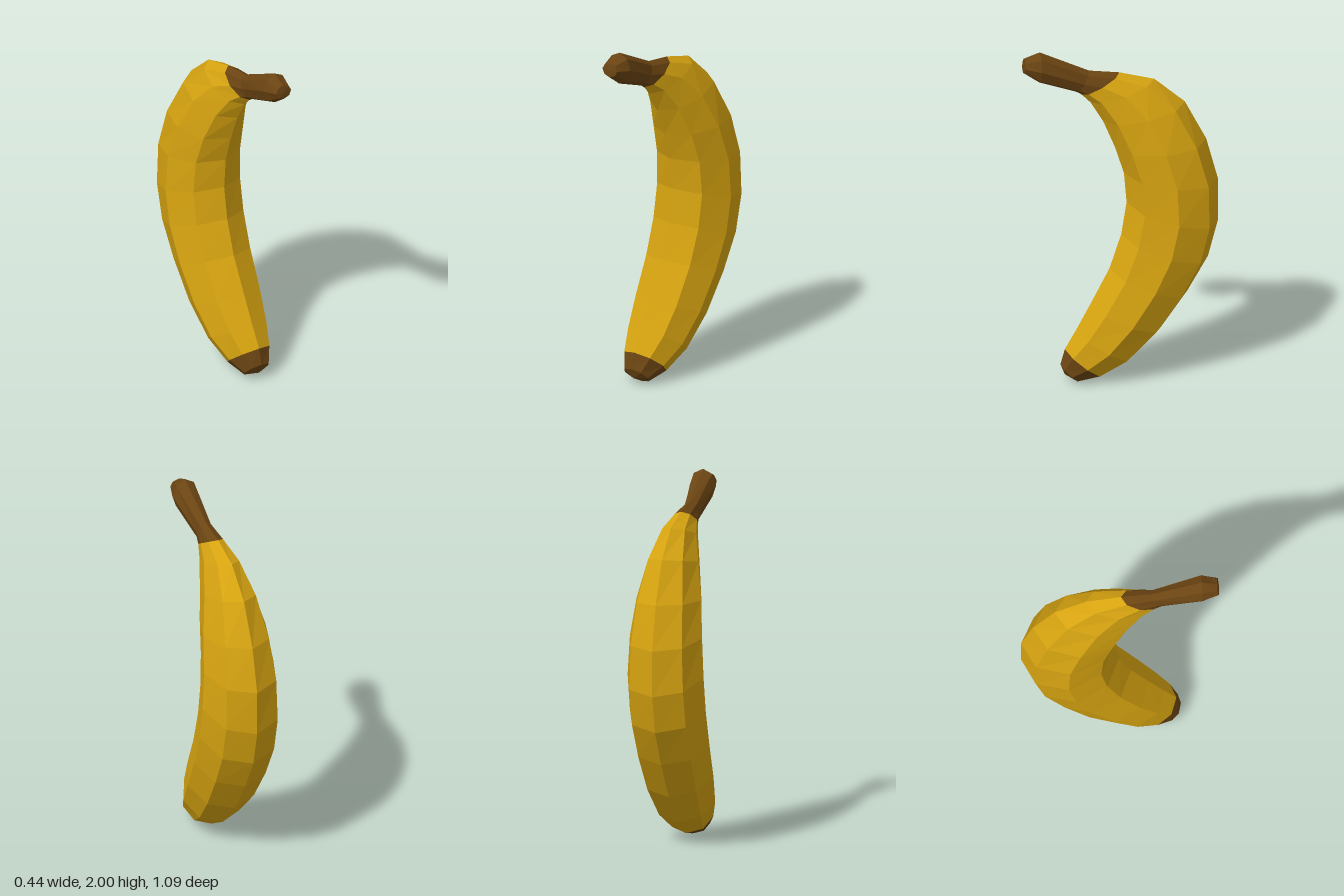
import * as THREE from 'three';

const SIDES = 8;

// Cross-sections from bottom to top: inner z, inner y, outer z, outer y, half width, x offset
const RINGS = [
  [0.335, 0.10, 0.235, 0.0, 0.08, 0],
  [0.31, 0.19, 0.10, 0.025, 0.125, 0],
  [0.245, 0.305, -0.06, 0.115, 0.17, 0],
  [0.165, 0.455, -0.23, 0.285, 0.198, 0],
  [0.06, 0.66, -0.375, 0.49, 0.212, 0],
  [-0.005, 0.86, -0.49, 0.69, 0.218, 0],
  [-0.035, 1.05, -0.545, 0.90, 0.218, 0],
  [-0.02, 1.23, -0.545, 1.155, 0.207, 0],
  [0.03, 1.39, -0.48, 1.40, 0.185, 0],
  [0.095, 1.55, -0.36, 1.635, 0.14, 0],
  [0.165, 1.67, -0.19, 1.785, 0.092, 0],
  [0.215, 1.722, 0.005, 1.84, 0.06, 0],
  [0.24, 1.74, 0.175, 1.865, 0.046, 0],
  [0.455, 1.82, 0.45, 2.0, 0.075, 0.008],
  [0.545, 1.885, 0.535, 1.965, 0.05, 0.008],
];

// Point on a cross-section; side 0 is on the inner curve
function ringPoint([iz, iy, oz, oy, w, x], side) {
  const a = (side / SIDES) * Math.PI * 2;
  const t = (1 - Math.cos(a)) / 2;
  return [x + w * Math.sin(a), iy + (oy - iy) * t, iz + (oz - iz) * t];
}

// Faceted skin over a run of rings, optionally closed to a point at either end
function skin(name, rings, material, bottomTip, topTip) {
  const pos = [];
  const tri = (...points) => points.forEach((p) => pos.push(...p));
  const last = rings[rings.length - 1];
  for (let j = 0; j < SIDES; j++) {
    for (let i = 0; i < rings.length - 1; i++) {
      const a = ringPoint(rings[i], j), b = ringPoint(rings[i], j + 1);
      const c = ringPoint(rings[i + 1], j + 1), d = ringPoint(rings[i + 1], j);
      tri(a, b, c);
      tri(a, c, d);
    }
    if (bottomTip) tri(bottomTip, ringPoint(rings[0], j + 1), ringPoint(rings[0], j));
    if (topTip) tri(topTip, ringPoint(last, j), ringPoint(last, j + 1));
  }
  const geometry = new THREE.BufferGeometry();
  geometry.setAttribute('position', new THREE.Float32BufferAttribute(pos, 3));
  geometry.computeVertexNormals();
  const mesh = new THREE.Mesh(geometry, material);
  mesh.name = name;
  return mesh;
}

export function createModel() {
  const peel = new THREE.MeshStandardMaterial({ color: 0xd6a310 });
  peel.name = 'yellow peel';
  const brown = new THREE.MeshStandardMaterial({ color: 0x6b4412 });
  brown.name = 'brown stem';
  peel.flatShading = brown.flatShading = true;

  const group = new THREE.Group();
  group.name = 'banana';
  group.add(
    skin('blossomTip', RINGS.slice(0, 2), brown, [0, 0.038, 0.31], null),
    skin('peelBody', RINGS.slice(1, 12), peel, null, null),
    skin('stem', RINGS.slice(11), brown, null, [0.008, 1.925, 0.545]),
  );
  return group;
}
